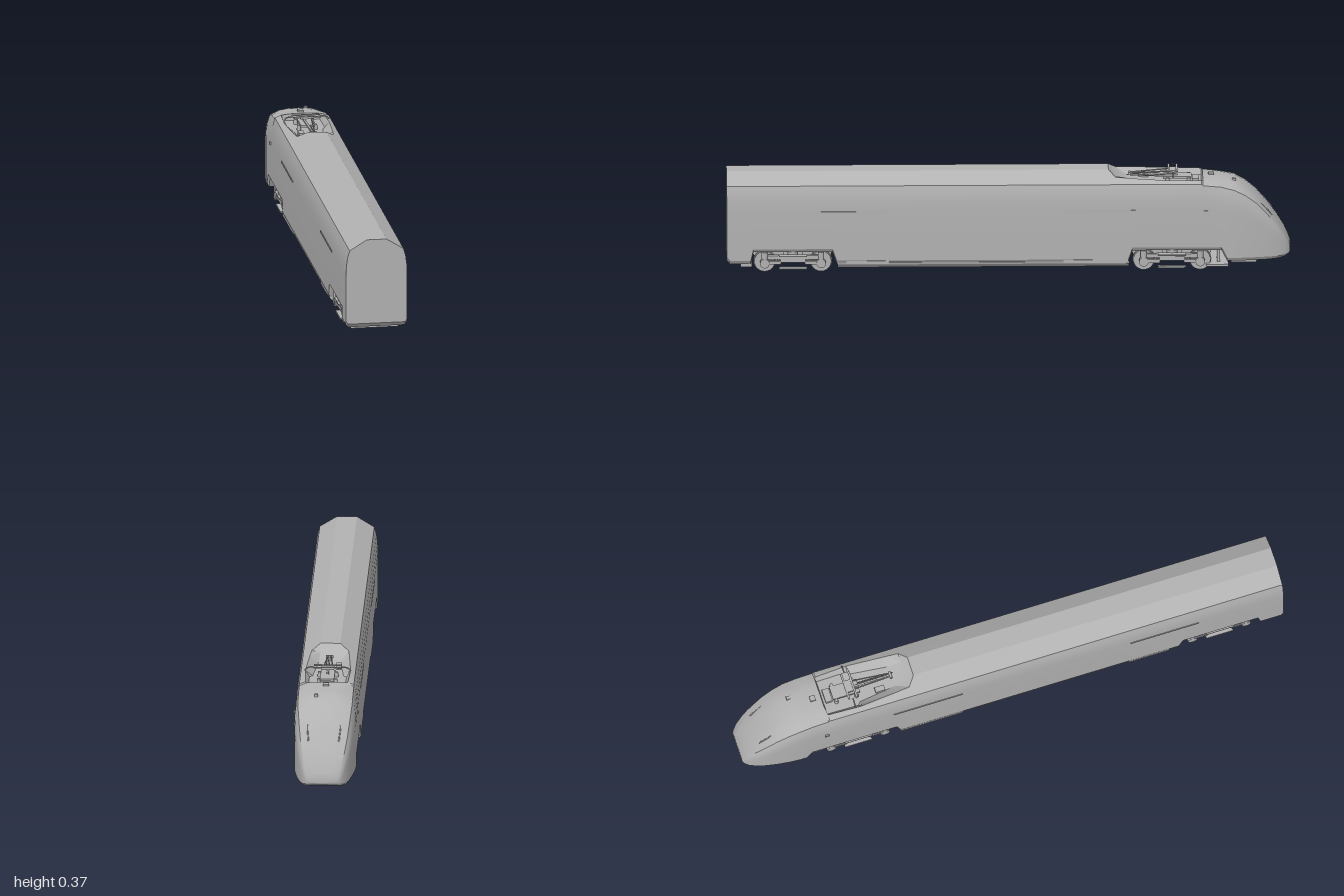
import * as THREE from 'three';
import { toCreasedNormals } from 'three/addons/utils/BufferGeometryUtils.js';

const grey = new THREE.MeshStandardMaterial({ color: 0xb2b2b2 });
grey.name = 'grey';

function add(parent, name, geometry, x = 0, y = 0, z = 0) {
  const m = new THREE.Mesh(geometry, grey);
  m.name = name;
  m.position.set(x, y, z);
  parent.add(m);
  return m;
}
const box = (p, name, w, h, d, x, y, z) => add(p, name, new THREE.BoxGeometry(w, h, d), x, y, z);
const axleGeo = (r, len, n = 24) => new THREE.CylinderGeometry(r, r, len, n).rotateZ(Math.PI / 2);

// Tube through a few points
function rod(p, name, pts, r) {
  const curve = new THREE.CatmullRomCurve3(pts.map(a => new THREE.Vector3(...a)));
  return add(p, name, new THREE.TubeGeometry(curve, 8, r, 6), 0, 0, 0);
}

// Closed cross-section: half profile from bottom centre to roof centre, then mirrored
function section({ z, b = 0.042, w = 0.11, k = 1, xr = 0.035, top = 0.365, xf = 0.02, floor = top }) {
  const s = y => 0.045 + (y - 0.045) * k;
  const sideLow = b + 0.012 * Math.min(1, k * 2);
  const up = (y) => Math.max(s(y), sideLow);
  const half = [[0, b], [w - 0.007, b], [w, sideLow], [w, up(0.235)], [w * 0.985, up(0.27)],
    [w * 0.95, up(0.3)], [w * 0.88, up(0.327)], [xr, top], [xf, floor], [0, floor]];
  const mirror = half.slice(1, -1).reverse().map(([x, y]) => [-x, y]);
  return [...half, ...mirror].map(([x, y]) => new THREE.Vector3(x, y, z));
}

// Skin the sections (running from +z to -z) and close both ends
function loft(rings) {
  const out = [], n = rings[0].length;
  const tri = (a, b, c) => {
    const area = b.clone().sub(a).cross(c.clone().sub(a)).length();
    if (area > 1e-8) for (const v of [a, b, c]) out.push(v.x, v.y, v.z);
  };
  for (let i = 0; i < rings.length - 1; i++) {
    for (let j = 0; j < n; j++) {
      const a = rings[i][j], b = rings[i][(j + 1) % n];
      const c = rings[i + 1][j], d = rings[i + 1][(j + 1) % n];
      tri(a, c, b);
      tri(b, c, d);
    }
  }
  const first = rings[0], last = rings[rings.length - 1];
  for (let j = 1; j < n - 1; j++) {
    tri(first[0], first[j], first[j + 1]);
    tri(last[0], last[j + 1], last[j]);
  }
  const g = new THREE.BufferGeometry();
  g.setAttribute('position', new THREE.Float32BufferAttribute(out, 3));
  g.computeVertexNormals();
  return toCreasedNormals(g, 0.5);
}

function bodyGeometry() {
  const pit = 0.085;
  const st = [
    // Flat coupling end, rear bogie bay and straight middle
    { z: 1, b: 0.056 }, { z: 0.99 }, { z: 0.915 }, { z: 0.905, b: pit },
    { z: 0.625, b: pit }, { z: 0.61 }, { z: -0.355 },
    // Sunken roof well over the front bogie bay
    { z: -0.38, xr: 0.066, top: 0.345, xf: 0.035, floor: 0.34 },
    { z: -0.425, xr: 0.07, top: 0.343, xf: 0.038, floor: 0.322 },
    { z: -0.44, b: pit, xr: 0.071, top: 0.342, xf: 0.04, floor: 0.32 },
    { z: -0.56, b: pit, xr: 0.08, top: 0.337, xf: 0.055, floor: 0.314 },
    { z: -0.57, b: pit, xr: 0.08, top: 0.337, xf: 0.066, floor: 0.314 },
    { z: -0.685, b: pit, xr: 0.075, top: 0.335, xf: 0.064, floor: 0.314 },
    // Cab roof
    { z: -0.69, b: pit, k: 0.98, xr: 0.07, top: 0.333, xf: 0.04, floor: 0.337 },
    { z: -0.755, b: pit, k: 0.96, xr: 0.066, top: 0.327, xf: 0.035, floor: 0.333 },
    { z: -0.775, b: 0.045, k: 0.94, xr: 0.064, top: 0.324, xf: 0.034, floor: 0.33 },
  ];
  // Tapering nose: z, underside, half width, height
  const nose = [[-0.8, 0.045, 0.11, 0.325], [-0.84, 0.045, 0.107, 0.303], [-0.88, 0.045, 0.102, 0.27],
    [-0.92, 0.045, 0.095, 0.222], [-0.955, 0.046, 0.085, 0.175], [-0.98, 0.05, 0.074, 0.133],
    [-0.995, 0.057, 0.063, 0.1], [-1, 0.065, 0.055, 0.085]];
  for (const [z, b, w, h] of nose) {
    const k = (h - 0.045) / 0.305;
    st.push({ z, b, w, k, xr: w * 0.58, top: h - 0.006 * k, xf: w * 0.3, floor: h });
  }
  return loft(st.map(section));
}

// Belly fairing between the bogies, chamfered along its lower edges
function bellyGeometry() {
  const s = new THREE.Shape();
  s.moveTo(-0.108, 0.046);
  s.lineTo(-0.106, 0.038);
  s.lineTo(-0.088, 0.022);
  s.lineTo(0.088, 0.022);
  s.lineTo(0.106, 0.038);
  s.lineTo(0.108, 0.046);
  return new THREE.ExtrudeGeometry(s, { depth: 1.035, bevelEnabled: false });
}

function makeBogie(z) {
  const g = new THREE.Group();
  g.name = 'bogie';
  g.position.z = z;
  box(g, 'bolster', 0.12, 0.03, 0.07, 0, 0.068, 0);
  for (const dz of [-0.1, 0.1]) {
    add(g, 'axle', axleGeo(0.01, 0.18, 12), 0, 0.04, dz);
    box(g, 'motor', 0.08, 0.035, 0.06, 0, 0.05, dz * 0.55);
    for (const s of [-1, 1]) {
      add(g, 'wheel', axleGeo(0.037, 0.012), s * 0.064, 0.04, dz);
      add(g, 'wheelFlange', axleGeo(0.04, 0.004), s * 0.057, 0.04, dz);
      add(g, 'axleBox', axleGeo(0.017, 0.02, 12), s * 0.09, 0.04, dz);
      box(g, 'axleBoxArm', 0.012, 0.012, 0.06, s * 0.09, 0.042, dz * 0.72);
      add(g, 'spring', new THREE.CylinderGeometry(0.011, 0.011, 0.03, 12), s * 0.09, 0.066, dz);
      box(g, 'brakeBlock', 0.014, 0.03, 0.008, s * 0.064, 0.045, dz * 0.52);
    }
  }
  for (const s of [-1, 1]) {
    box(g, 'sideFrame', 0.014, 0.014, 0.2, s * 0.089, 0.062, 0);
    box(g, 'frameCentre', 0.016, 0.016, 0.09, s * 0.089, 0.052, 0);
    add(g, 'airSpring', new THREE.CylinderGeometry(0.019, 0.019, 0.02, 16), s * 0.083, 0.077, 0);
    box(g, 'stepPlate', 0.016, 0.006, 0.1, s * 0.094, 0.022, 0);
    rod(g, 'damper', [[s * 0.101, 0.07, -0.05], [s * 0.101, 0.07, 0.05]], 0.005);
  }
  return g;
}

function makePantograph() {
  const g = new THREE.Group();
  g.name = 'pantograph';
  box(g, 'baseFrame', 0.05, 0.008, 0.1, 0, 0.33, -0.6);
  for (const s of [-1, 1]) {
    for (const z of [-0.565, -0.64]) {
      add(g, 'insulator', new THREE.CylinderGeometry(0.006, 0.008, 0.02, 10), s * 0.03, 0.322, z);
    }
    rod(g, 'upperArm', [[s * 0.006, 0.342, -0.43], [s * 0.016, 0.352, -0.57]], 0.0025);
    rod(g, 'bowHorn', [[s * 0.05, 0.357, -0.585], [s * 0.07, 0.354, -0.585], [s * 0.082, 0.344, -0.585]], 0.0025);
  }
  rod(g, 'lowerArm', [[0, 0.334, -0.6], [0, 0.341, -0.43]], 0.004);
  rod(g, 'guideRod', [[0.01, 0.33, -0.58], [0.008, 0.337, -0.42]], 0.002);
  add(g, 'elbow', axleGeo(0.005, 0.026, 10), 0, 0.341, -0.43);
  for (const z of [-0.57, -0.598]) box(g, 'contactStrip', 0.1, 0.004, 0.007, 0, 0.358, z);
  box(g, 'bowCrossbar', 0.045, 0.006, 0.03, 0, 0.353, -0.585);
  box(g, 'wellEquipment', 0.02, 0.014, 0.035, -0.035, 0.324, -0.48);
  box(g, 'breakerBox', 0.05, 0.012, 0.025, 0, 0.32, -0.665);
  return g;
}

export function createModel() {
  const train = new THREE.Group();
  train.name = 'trainCar';
  add(train, 'body', bodyGeometry());
  add(train, 'bellyFairing', bellyGeometry(), 0, 0, -0.428);
  train.add(makeBogie(0.765), makeBogie(-0.58), makePantograph());

  for (const s of [-1, 1]) {
    // Side rails, fairing hatches and cab side cameras
    for (const z of [0.557, -0.323]) box(train, 'sideRail', 0.004, 0.006, 0.255, s * 0.11, 0.233, z);
    for (const z of [0.5, -0.31]) box(train, 'fairingHatch', 0.004, 0.012, z > 0 ? 0.15 : 0.23, s * 0.1085, 0.047, z);
    box(train, 'sideCamera', 0.008, 0.009, 0.014, s * 0.111, 0.229, -0.7);
    // Headlamp slits along the nose edges
    rod(train, 'headlampSlit', [[s * 0.063, 0.286, -0.85], [s * 0.059, 0.245, -0.895], [s * 0.054, 0.2, -0.935]], 0.0025);
  }

  // Track clearing plates and small roof fittings
  box(train, 'frontPlough', 0.13, 0.016, 0.09, 0, 0.036, -0.835);
  box(train, 'bogieGuard', 0.17, 0.008, 0.08, 0, 0.022, -0.74);
  box(train, 'bogieGuardBracket', 0.1, 0.06, 0.01, 0, 0.055, -0.745);
  box(train, 'rearGuard', 0.17, 0.018, 0.04, 0, 0.034, 0.93);
  box(train, 'roofHorn', 0.012, 0.008, 0.014, 0.032, 0.326, -0.8);
  box(train, 'roofAerial', 0.02, 0.006, 0.02, 0, 0.339, -0.72);
  return train;
}
